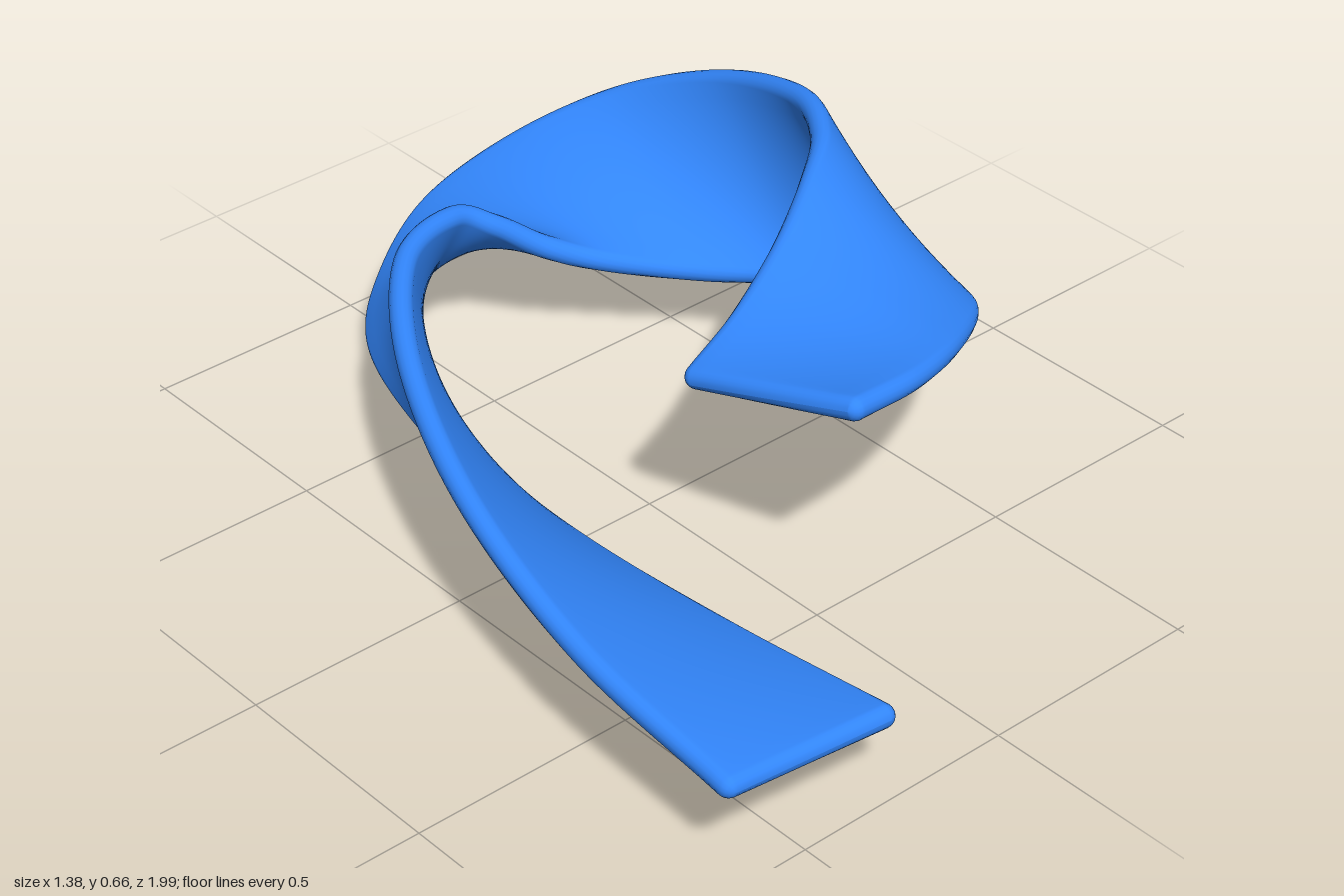
import * as THREE from 'three';

const RADIUS = 0.025; // half the ribbon's thickness, also its edge rounding
const STEPS = 240, FLAT = 12, ARC = 8, CAP = 5;

// Matching points along the two long edges of the ribbon
const edgeA = [
  [-0.665, 0.23, 0.97], [-0.65, 0.28, 0.55], [-0.57, 0.35, 0.13], [-0.41, 0.4, -0.25],
  [-0.2, 0.42, -0.53], [0, 0.4, -0.63], [0.1, 0.35, -0.61], [0.2, 0.28, -0.56],
  [0.31, 0.235, -0.49], [0.47, 0.21, -0.35], [0.6, 0.225, -0.19], [0.66, 0.27, 0],
  [0.65, 0.33, 0.17], [0.55, 0.41, 0.34], [0.36, 0.48, 0.48], [0.17, 0.525, 0.565], [-0.02, 0.56, 0.605],
];
const edgeB = [
  [-0.285, 0.185, 0.97], [-0.28, 0.125, 0.55], [-0.26, 0.07, 0.1], [-0.22, 0.04, -0.25],
  [-0.17, 0.03, -0.53], [-0.09, 0.05, -0.78], [0.04, 0.1, -0.91], [0.22, 0.19, -0.973],
  [0.42, 0.31, -0.9], [0.58, 0.43, -0.74], [0.655, 0.54, -0.5], [0.635, 0.615, -0.25],
  [0.54, 0.635, -0.08], [0.4, 0.63, 0.04], [0.23, 0.585, 0.14], [0.06, 0.525, 0.205], [-0.085, 0.475, 0.237],
];
const toCurve = (pts) =>
  new THREE.CatmullRomCurve3(pts.map((p) => new THREE.Vector3(...p)), false, 'catmullrom', 0.5);

// Cross-section outline: u runs from edge A to edge B, angle is the direction of the offset
function sectionOutline() {
  const out = [];
  for (let k = 0; k <= ARC; k++) out.push([1, -Math.PI / 2 + (Math.PI * k) / ARC]);
  for (let k = 1; k < FLAT; k++) out.push([1 - k / FLAT, Math.PI / 2]);
  for (let k = 0; k <= ARC; k++) out.push([0, Math.PI / 2 + (Math.PI * k) / ARC]);
  for (let k = 1; k < FLAT; k++) out.push([k / FLAT, -Math.PI / 2]);
  return out;
}

function ribbonGeometry() {
  const a = toCurve(edgeA), b = toCurve(edgeB), outline = sectionOutline();

  // Rings: rounded start cap, body, rounded end cap
  const rings = [];
  for (let k = CAP; k > 0; k--) rings.push([0, -(k / CAP) * Math.PI / 2]);
  for (let i = 0; i <= STEPS; i++) rings.push([i / STEPS, 0]);
  for (let k = 1; k <= CAP; k++) rings.push([1, (k / CAP) * Math.PI / 2]);

  const positions = [], index = [];
  for (const [t, phi] of rings) {
    const pa = a.getPoint(t), pb = b.getPoint(t);
    const ta = a.getTangent(t), tb = b.getTangent(t);
    const across = pb.clone().sub(pa).normalize();
    const r = RADIUS * Math.cos(phi), push = RADIUS * Math.sin(phi);
    for (const [u, angle] of outline) {
      const along = ta.clone().lerp(tb, u).normalize();
      const normal = across.clone().cross(along).normalize();
      const side = along.clone().cross(normal).normalize();
      const p = pa.clone().lerp(pb, u)
        .addScaledVector(along, push)
        .addScaledVector(side, r * Math.cos(angle))
        .addScaledVector(normal, r * Math.sin(angle));
      positions.push(p.x, p.y, p.z);
    }
  }
  const n = outline.length;
  for (let i = 0; i < rings.length - 1; i++) {
    for (let j = 0; j < n; j++) {
      const p = i * n + j, q = i * n + ((j + 1) % n);
      index.push(p, p + n, q, p + n, q + n, q);
    }
  }
  const geometry = new THREE.BufferGeometry();
  geometry.setAttribute('position', new THREE.Float32BufferAttribute(positions, 3));
  geometry.setIndex(index);
  geometry.computeVertexNormals();
  return geometry;
}

export function createModel() {
  const group = new THREE.Group();
  group.name = 'twistedRibbon';
  const ribbon = new THREE.Mesh(ribbonGeometry(), new THREE.MeshStandardMaterial({ color: 0x3388ff }));
  ribbon.name = 'ribbon';
  group.add(ribbon);
  return group;
}
